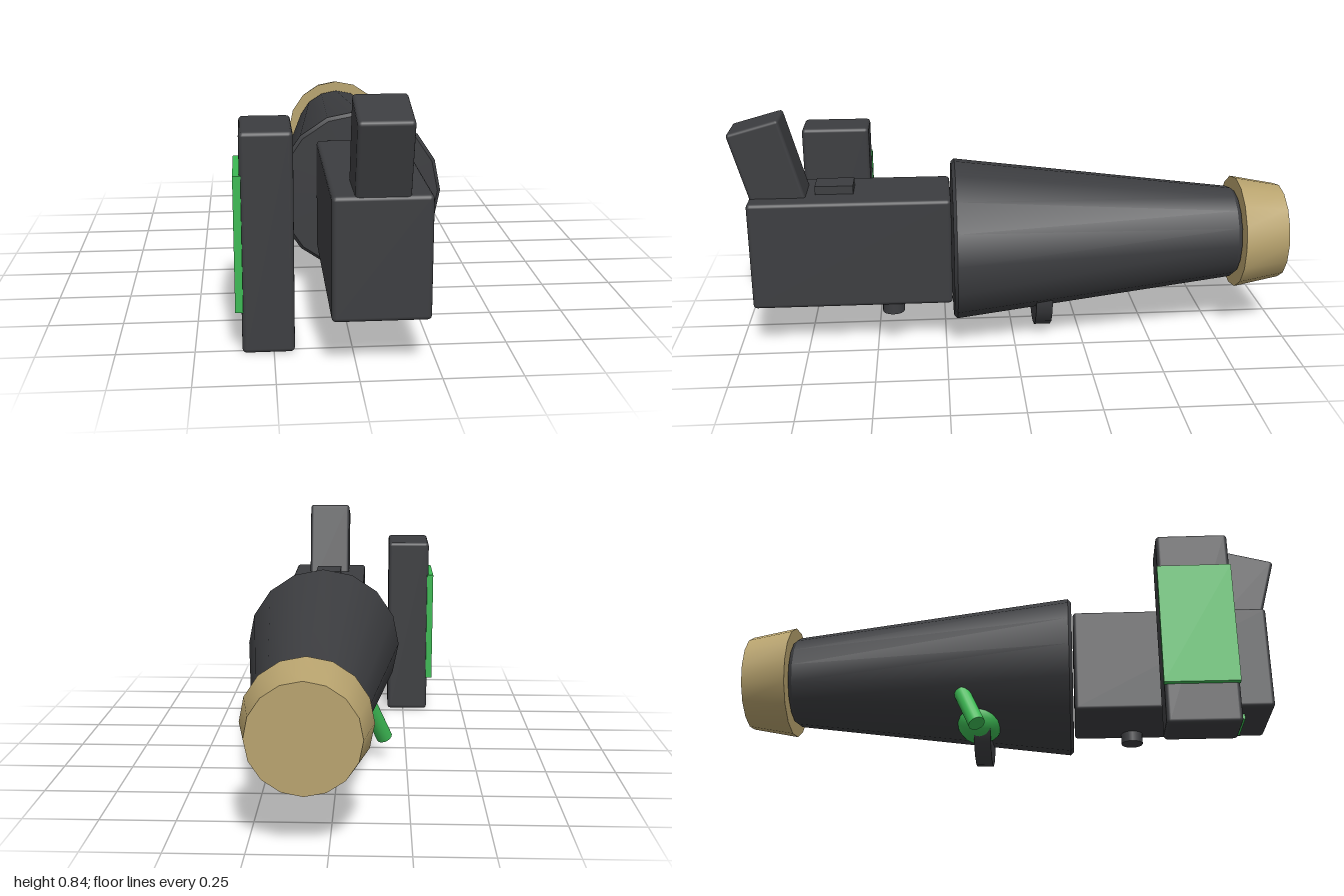
import * as THREE from 'three';
import { RoundedBoxGeometry } from 'three/addons/geometries/RoundedBoxGeometry.js';
import { toCreasedNormals } from 'three/addons/utils/BufferGeometryUtils.js';

const mat = (color) => new THREE.MeshStandardMaterial({ color });

export function createModel() {
  const group = new THREE.Group();
  const dark = mat(0x3c3d40), green = mat(0x3cb953), tan = mat(0xb8a36e);
  const axisX = 0.073, axisY = 0.36;

  const add = (name, geometry, material, x, y, z) => {
    const mesh = new THREE.Mesh(geometry, material);
    mesh.name = name;
    mesh.position.set(x, y, z);
    group.add(mesh);
    return mesh;
  };
  // Box from its extents, with an optional small edge bevel
  const box = (name, material, [x0, x1], [y0, y1], [z0, z1], r = 0) => {
    const size = [x1 - x0, y1 - y0, z1 - z0];
    const g = r ? new RoundedBoxGeometry(...size, 2, r) : new THREE.BoxGeometry(...size);
    return add(name, g, material, (x0 + x1) / 2, (y0 + y1) / 2, (z0 + z1) / 2);
  };
  // 16-sided turned part along z, from [radius, z] points running back to front
  const turned = (name, material, profile) => {
    const g = new THREE.LatheGeometry(profile.map(([r, z]) => new THREE.Vector2(r, z)), 16);
    g.rotateX(Math.PI / 2);
    return add(name, toCreasedNormals(g, 0.5), material, axisX, axisY, 0);
  };

  // Tapered barrel with bevelled ends, and the flared cap behind it
  turned('barrel', dark, [[0, -0.83], [0.158, -0.83], [0.17, -0.815], [0.296, 0.208], [0.284, 0.22], [0, 0.22]]);
  turned('endCap', tan, [[0, -1], [0.176, -1], [0.208, -0.833], [0, -0.833]]);

  // Rear housing, slanted grip and top pad
  box('housing', dark, [-0.08, 0.225], [0.163, 0.557], [0.225, 0.94], 0.014);
  const grip = add('grip', new RoundedBoxGeometry(0.168, 0.36, 0.19, 2, 0.012), dark, 0.073, 0.643, 0.862);
  grip.rotation.x = 0.27;
  box('topPad', dark, [0.02, 0.122], [0.54, 0.587], [0.572, 0.708]);

  // Side block with its panel
  box('sideBlock', dark, [-0.35, -0.184], [0, 0.717], [0.525, 0.777], 0.014);
  box('sidePanel', green, [-0.37, -0.345], [0.14, 0.582], [0.522, 0.778]);

  // Underside panel and knob
  box('bottomPanel', green, [-0.01, 0.157], [0.142, 0.17], [0.69, 0.84]);
  add('knob', new THREE.CylinderGeometry(0.04, 0.04, 0.06, 16), dark, 0.18, 0.155, 0.44);

  // Disc standing out below the barrel
  const disc = new THREE.CylinderGeometry(0.157, 0.157, 0.06, 16).rotateX(Math.PI / 2);
  add('lowerDisc', disc, dark, axisX, 0.174, -0.11);

  // Green stud and rod under the barrel
  add('stud', new THREE.SphereGeometry(0.085, 20, 14), green, -0.01, 0.155, -0.12);
  const top = new THREE.Vector3(-0.11, 0.225, -0.18), low = new THREE.Vector3(-0.168, 0.083, -0.12);
  const dir = top.clone().sub(low), mid = top.clone().add(low).multiplyScalar(0.5);
  const rod = add('rod', new THREE.CylinderGeometry(0.03, 0.03, dir.length(), 16), green, mid.x, mid.y, mid.z);
  rod.quaternion.setFromUnitVectors(new THREE.Vector3(0, 1, 0), dir.normalize());

  return group;
}
